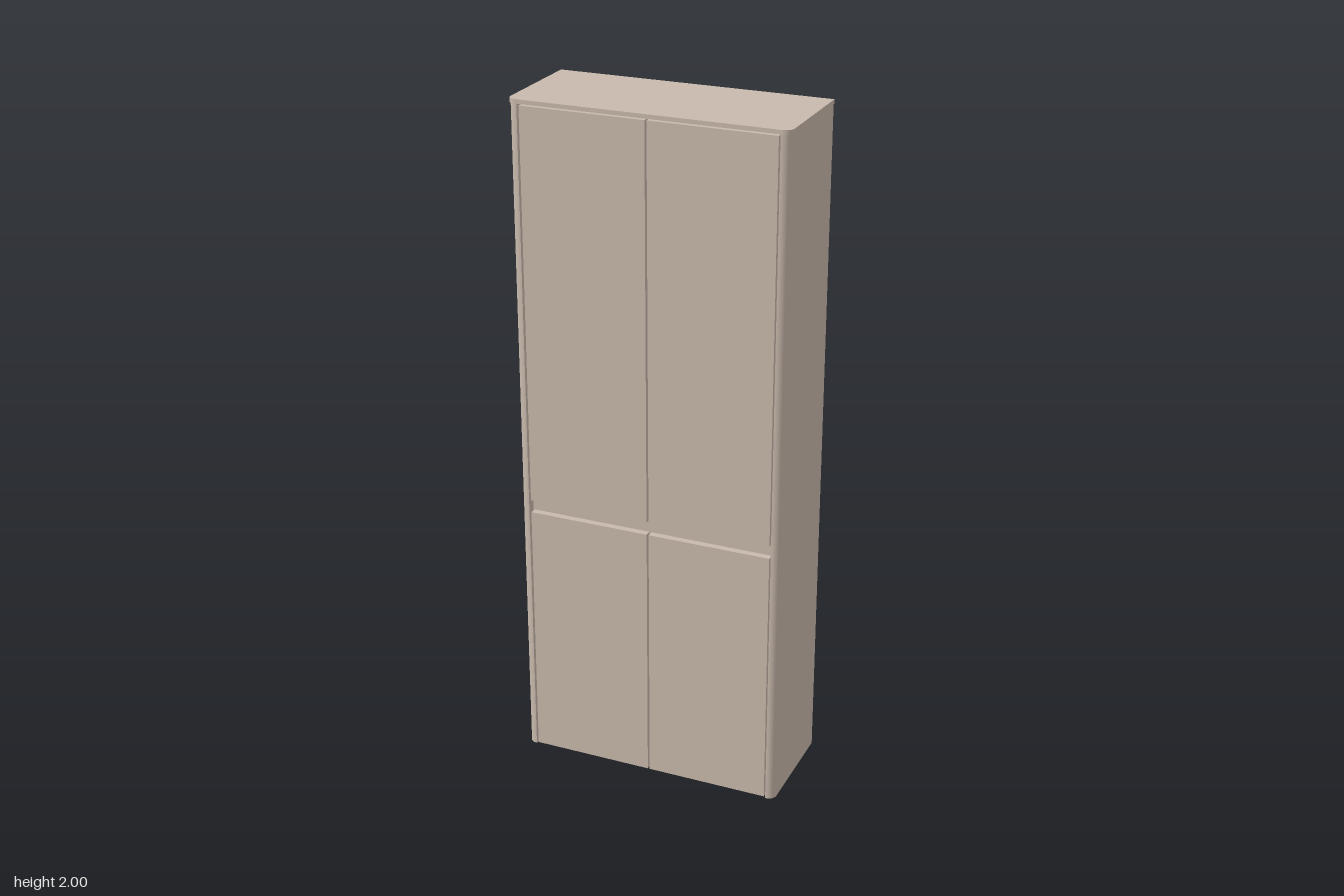
import * as THREE from 'three';

const beige = new THREE.MeshStandardMaterial({ color: 0xc8b9ac });
const grey = new THREE.MeshStandardMaterial({ color: 0xcccccc });

const W = 0.398, D = 0.165, R = 0.025; // half width, half depth, front corner radius
const TOP = 1.985, SIDE = 0.027;

export function createModel() {
  const group = new THREE.Group();
  group.name = 'cabinet';

  const add = (name, geometry, material = beige) => {
    const mesh = new THREE.Mesh(geometry, material);
    mesh.name = name;
    group.add(mesh);
    return mesh;
  };

  // box given by its minimum and maximum corners
  const box = (name, [x0, y0, z0], [x1, y1, z1], material) => {
    const geometry = new THREE.BoxGeometry(x1 - x0, y1 - y0, z1 - z0);
    geometry.translate((x0 + x1) / 2, (y0 + y1) / 2, (z0 + z1) / 2);
    return add(name, geometry, material);
  };

  // plan outline (x, -z) raised from y0 to y1
  const raise = (name, shape, y0, y1) => {
    const geometry = new THREE.ExtrudeGeometry(shape, { depth: y1 - y0, bevelEnabled: false, curveSegments: 8 });
    geometry.rotateX(-Math.PI / 2).translate(0, y0, 0);
    return add(name, geometry);
  };

  // top board with rounded front corners
  const top = new THREE.Shape();
  top.moveTo(-0.4, D);
  top.lineTo(-0.4, -D + R);
  top.absarc(-0.4 + R, -D + R, R, Math.PI, Math.PI * 1.5, false);
  top.absarc(0.4 - R, -D + R, R, Math.PI * 1.5, Math.PI * 2, false);
  top.lineTo(0.4, D);
  top.closePath();
  raise('topBoard', top, TOP + 0.003, 2);

  // side panels, rounded at the outer front edge
  for (const s of [-1, 1]) {
    const side = new THREE.Shape();
    side.moveTo(s * (W - SIDE), D);
    side.lineTo(s * (W - SIDE), -D + 0.001);
    side.lineTo(s * (W - R), -D + 0.001);
    side.absarc(s * (W - R), -D + R, R - 0.001, Math.PI * 1.5, s > 0 ? Math.PI * 2 : Math.PI, s < 0);
    side.lineTo(s * W, D);
    side.closePath();
    raise(s > 0 ? 'leftSide' : 'rightSide', side, 0, TOP + 0.003);
  }

  // carcass boards
  const inner = W - SIDE;
  box('backPanel', [-inner, 0.022, -D + 0.008], [inner, 1.965, -D + 0.018]);
  box('upperBoard', [-inner, 1.965, -D + 0.004], [inner, TOP + 0.003, D - 0.03]);
  box('floorBoard', [-inner, 0.008, -D + 0.004], [inner, 0.022, D - 0.025], grey);
  box('middleShelf', [-inner, 0.775, -D + 0.018], [inner, 0.835, D - 0.028]);

  // two pairs of doors, with the grip channel between them
  const edge = inner - 0.005, gap = 0.003;
  for (const [level, y0, y1] of [['lower', 0.003, 0.785], ['upper', 0.823, 1.983]]) {
    box(level + 'LeftDoor', [gap, y0, D - 0.023], [edge, y1, D - 0.003]);
    box(level + 'RightDoor', [-edge, y0, D - 0.023], [-gap, y1, D - 0.003]);
  }

  return group;
}
